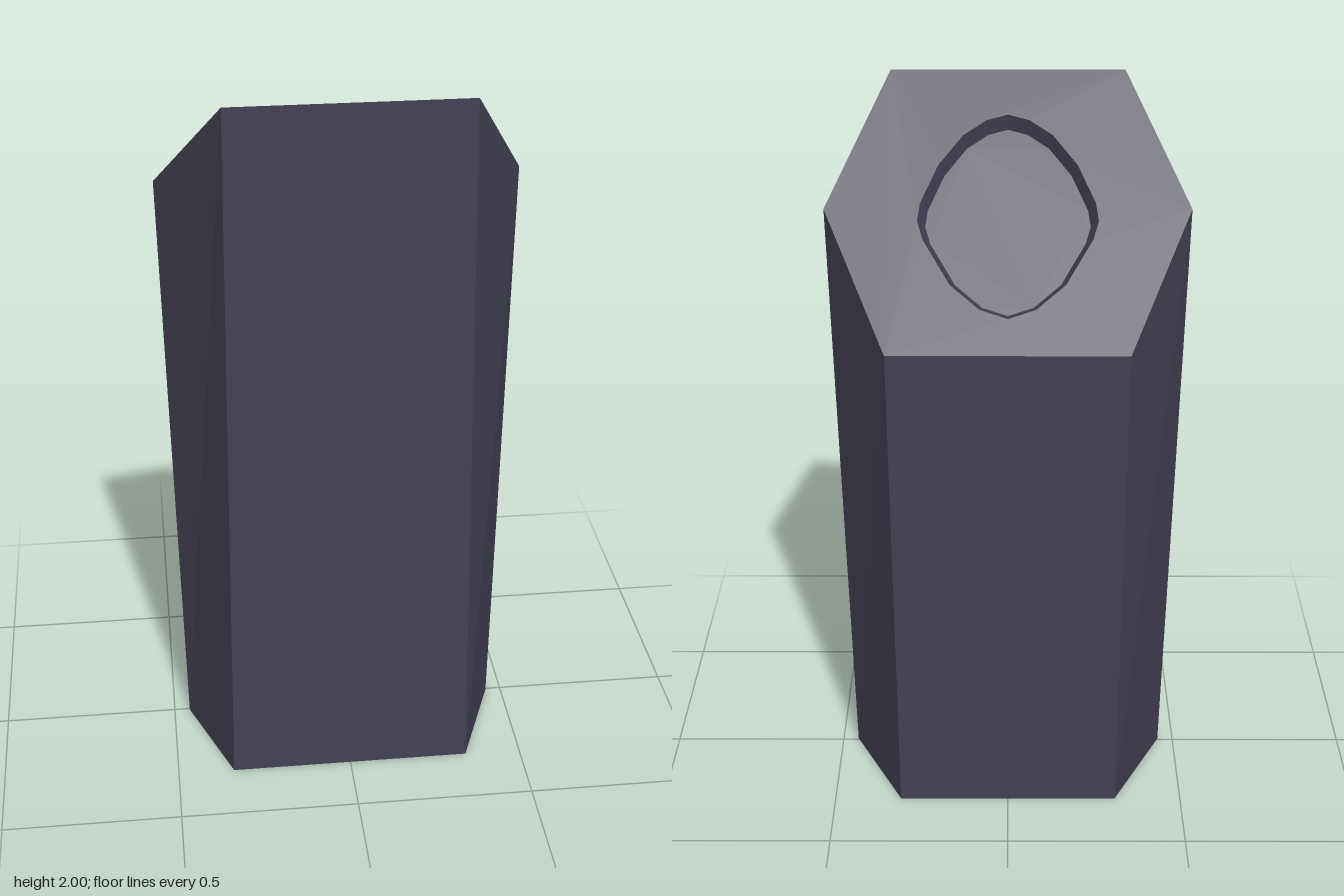
import * as THREE from 'three';

const slate = new THREE.MeshStandardMaterial({ color: 0x434152 });
slate.name = 'darkSlate';

// Height of the slanted top plane at depth z
const slant = (z) => 2 - (0.275 - z) * 1.01;

// Mirror a front-to-back half outline [x, z] into a full loop, counterclockwise from above
const mirrorLoop = (half) => [
  ...half,
  ...half.slice().reverse().filter(([x]) => x > 0).map(([x, z]) => [-x, z]),
];

const lift = (loop, height) => loop.map(([x, z]) => new THREE.Vector3(x, height(z), z));

// Flat-shaded quads joining two loops
function skin(a, b) {
  const pts = [];
  a.forEach((p, i) => {
    const j = (i + 1) % a.length;
    pts.push(p, a[j], b[j], p, b[j], b[i]);
  });
  const g = new THREE.BufferGeometry().setFromPoints(pts);
  g.computeVertexNormals();
  return g;
}

// Upward cap on a loop, laid on a height rule, with an optional hole
function cap(loop, height, hole) {
  const flat = (l) => l.map(([x, z]) => new THREE.Vector2(x, -z));
  const shape = new THREE.Shape(flat(loop));
  if (hole) shape.holes.push(new THREE.Path(flat(hole)));
  const g = new THREE.ShapeGeometry(shape).rotateX(-Math.PI / 2);
  const p = g.attributes.position;
  for (let i = 0; i < p.count; i++) p.setY(i, height(p.getZ(i)));
  g.computeVertexNormals();
  return g;
}

export function createModel() {
  const group = new THREE.Group();
  const add = (name, geometry) => {
    const mesh = new THREE.Mesh(geometry, slate);
    mesh.name = name;
    group.add(mesh);
  };

  // Six-sided column, slightly flared towards the top
  const base = mirrorLoop([[0.34, 0.31], [0.455, 0.005], [0.31, -0.3]]);
  const top = mirrorLoop([[0.32, 0.275], [0.49, -0.02], [0.32, -0.315]]);
  add('columnSides', skin(lift(base, () => 0), lift(top, slant)));

  // Underside: the base outline turned over
  const under = base.map(([x, z]) => [x, -z]);
  add('underside', cap(under, () => 0).rotateX(Math.PI));

  // Rounded diamond recess, narrowing towards its floor
  const rim = mirrorLoop([
    [0, 0.178], [0.058, 0.166], [0.121, 0.134], [0.187, 0.071], [0.234, -0.008],
    [0.241, -0.045], [0.226, -0.082], [0.153, -0.174], [0.074, -0.224], [0, -0.242],
  ]);
  const sink = 0.028;
  const floor = rim.map(([x, z]) => [x * 0.917, -0.03 + (z + 0.03) * 0.917 + sink]);
  const floorHeight = (z) => slant(z - sink) - sink;

  add('slantedTop', cap(top, slant, rim));
  add('recessWall', skin(lift(rim, slant), lift(floor, floorHeight)));
  add('recessFloor', cap(floor, floorHeight));
  return group;
}
